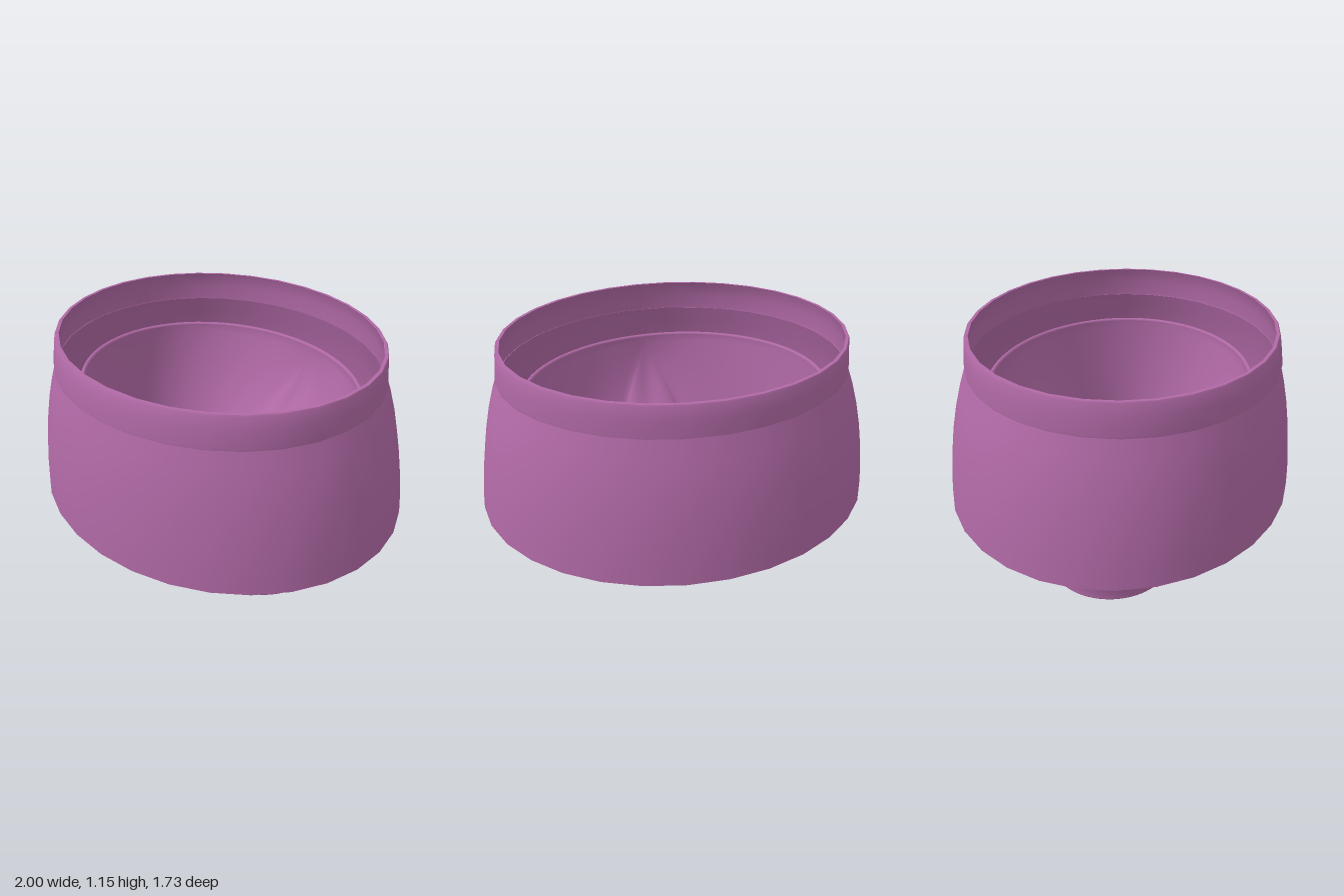
import * as THREE from 'three';
import { toCreasedNormals } from 'three/addons/utils/BufferGeometryUtils.js';

const fabric = new THREE.MeshStandardMaterial({ color: 0xb069a5 });
fabric.name = 'purple fabric';

// Indexed surface from rows of points; every row is a closed loop.
function gridGeometry(rows, flip = false, closeRows = false) {
  const n = rows[0].length, index = [];
  const last = closeRows ? rows.length : rows.length - 1;
  for (let i = 0; i < last; i++) {
    for (let j = 0; j < n; j++) {
      const k = (i + 1) % rows.length, m = (j + 1) % n;
      const a = i * n + j, b = k * n + j, c = k * n + m, d = i * n + m;
      if (flip) index.push(a, c, b, a, d, c);
      else index.push(a, b, c, a, c, d);
    }
  }
  const g = new THREE.BufferGeometry().setFromPoints(rows.flat());
  g.setIndex(index);
  g.computeVertexNormals();
  return g;
}

function addMesh(parent, geometry, name) {
  const mesh = new THREE.Mesh(geometry, fabric);
  mesh.name = name;
  parent.add(mesh);
}

// Thin-walled oval band. Profile rows: [y, half width, front z, back z, front dip]
function ovalShell(profile, wall) {
  const sides = 32;
  const ring = ([y, rx, zf, zb, dip], inset) => Array.from({ length: sides }, (_, j) => {
    const t = j / sides * Math.PI * 2, s = Math.sin(t);
    return new THREE.Vector3(
      (rx - inset) * Math.cos(t),
      y - dip * (1 + s) / 2,
      (zf - zb) / 2 + ((zf + zb) / 2 - inset) * s);
  });
  const rows = [
    ...profile.map(p => ring(p, 0)),
    ...profile.slice().reverse().map(p => ring(p, wall)),
  ];
  return toCreasedNormals(gridGeometry(rows, false, true), 0.6);
}

// Shorts dimensions
const WAIST_Y = 0.87, WAIST_X = 0.772, WAIST_Z = 0.657, CROTCH_Y = 0.26;
const LEG_X = 0.363, LEG_RX = 0.322, LEG_Z = 0.02, LEG_RZ = 0.31;
const WALL = 0.022, COLS = 72, ROWS = 22, CORNER = Math.PI * 110 / 180;

// One column of the left half: from the leg hem up to the waist or centre seam.
function shortsColumn(j) {
  let t = j / COLS * Math.PI * 2;
  if (t > Math.PI) t -= Math.PI * 2;
  const side = t < 0 ? -1 : 1, c = Math.cos(t), s = Math.sin(t);
  const p0 = new THREE.Vector3(LEG_X + LEG_RX * c, 0.012, LEG_Z + LEG_RZ * s);
  const p1 = new THREE.Vector3(), t1 = new THREE.Vector3();
  let length;
  if (Math.abs(t) <= CORNER + 1e-6) {
    // Ends on the oval waist
    const f = Math.abs(t) / CORNER, w = f ** 4, e = f * Math.PI / 2;
    p1.set(WAIST_X * Math.cos(e), WAIST_Y, side * WAIST_Z * Math.sin(e));
    if (f > 1 - 1e-6) p1.x = 0;
    length = p0.distanceTo(p1);
    t1.set(-0.35 * w * Math.sin(e), length,
      side * (0.3 * length * Math.sin(e) * (1 - w) + 0.35 * w * Math.cos(e)));
  } else {
    // Ends on the centre seam that runs under the crotch
    const f = (Math.PI - Math.abs(t)) / (Math.PI - CORNER), e = f * Math.PI / 2;
    const depth = WAIST_Y - CROTCH_Y;
    p1.set(0, WAIST_Y - depth * Math.cos(e), side * WAIST_Z * Math.sin(e));
    length = p0.distanceTo(p1);
    const w = f ** 4 * length;
    t1.set(-(0.05 + 1.2 * p0.x), w * Math.sin(e), side * w * Math.cos(e));
  }
  const flare = c < 0 ? 0.05 : 0.15;
  const t0 = new THREE.Vector3(flare * c, 1, 0.12 * s).multiplyScalar(length);
  return Array.from({ length: ROWS + 1 }, (_, i) => {
    const v = i / ROWS, v2 = v * v, v3 = v2 * v;
    return new THREE.Vector3()
      .addScaledVector(p0, 2 * v3 - 3 * v2 + 1)
      .addScaledVector(t0, v3 - 2 * v2 + v)
      .addScaledVector(p1, 3 * v2 - 2 * v3)
      .addScaledVector(t1, v3 - v2);
  });
}

// Outer or inner cloth of one half, with normals matched across the centre seam
function shortsHalf(rows, normals, inner, mirror) {
  const sx = mirror ? -1 : 1, sn = inner ? -1 : 1;
  const moved = rows.map((row, i) => row.map((p, j) => {
    const q = p.clone();
    if (inner) q.addScaledVector(normals[i][j], -WALL);
    q.x *= sx;
    return q;
  }));
  const g = gridGeometry(moved, inner !== mirror);
  normals.flat().forEach((n, k) =>
    g.attributes.normal.setXYZ(k, n.x * sx * sn, n.y * sn, n.z * sn));
  return g;
}

// Rounded edge along an oval
function ovalRim(x, y, z, rx, rz) {
  const points = Array.from({ length: 32 }, (_, i) => {
    const t = i / 32 * Math.PI * 2;
    return new THREE.Vector3(x + rx * Math.cos(t), y, z + rz * Math.sin(t));
  });
  const path = new THREE.CatmullRomCurve3(points, true);
  return new THREE.TubeGeometry(path, 72, WALL / 2 + 0.001, 8, true);
}

function createShorts() {
  const shorts = new THREE.Group();
  shorts.name = 'shorts';
  const columns = Array.from({ length: COLS }, (_, j) => shortsColumn(j));
  const rows = Array.from({ length: ROWS + 1 }, (_, i) => columns.map(col => col[i]));
  const na = gridGeometry(rows).attributes.normal;
  const normals = rows.map((row, i) => row.map((p, j) => {
    const n = new THREE.Vector3().fromBufferAttribute(na, i * COLS + j);
    if (i === ROWS && p.x < 1e-6) n.x = 0;
    if (i === 0 || (i === ROWS && p.y > WAIST_Y - 1e-6)) n.y = 0;
    return n.normalize();
  }));
  for (const mirror of [false, true]) {
    const side = mirror ? 'right' : 'left';
    addMesh(shorts, shortsHalf(rows, normals, false, mirror), side + 'ShortsOuter');
    addMesh(shorts, shortsHalf(rows, normals, true, mirror), side + 'ShortsLining');
    addMesh(shorts, ovalRim(mirror ? -LEG_X : LEG_X, 0.012, LEG_Z,
      LEG_RX - WALL / 2, LEG_RZ - WALL / 2), side + 'LegHem');
  }
  addMesh(shorts, ovalRim(0, WAIST_Y, 0, WAIST_X - WALL / 2, WAIST_Z - WALL / 2), 'shortsWaistRim');
  shorts.position.x = -0.008;
  return shorts;
}

export function createModel() {
  const model = new THREE.Group();
  model.name = 'skirtWithShorts';

  // Flared skirt
  addMesh(model, ovalShell([
    [0.325, 1.0, 0.868, 0.866, 0],
    [0.42, 0.993, 0.865, 0.86, 0],
    [0.55, 0.977, 0.854, 0.846, 0],
    [0.68, 0.955, 0.84, 0.828, 0],
    [0.80, 0.928, 0.822, 0.804, 0.003],
    [0.91, 0.896, 0.8, 0.775, 0.008],
    [1.0, 0.864, 0.778, 0.746, 0.015],
  ], 0.012), 'skirt');

  // Waistband, slightly proud of the skirt
  addMesh(model, ovalShell([
    [1.0, 0.871, 0.784, 0.748, 0.015],
    [1.01, 0.872, 0.784, 0.748, 0.015],
    [1.08, 0.862, 0.774, 0.743, 0.013],
    [1.145, 0.857, 0.763, 0.737, 0.011],
    [1.152, 0.853, 0.758, 0.733, 0.011],
  ], 0.016), 'waistband');

  model.add(createShorts());
  return model;
}
